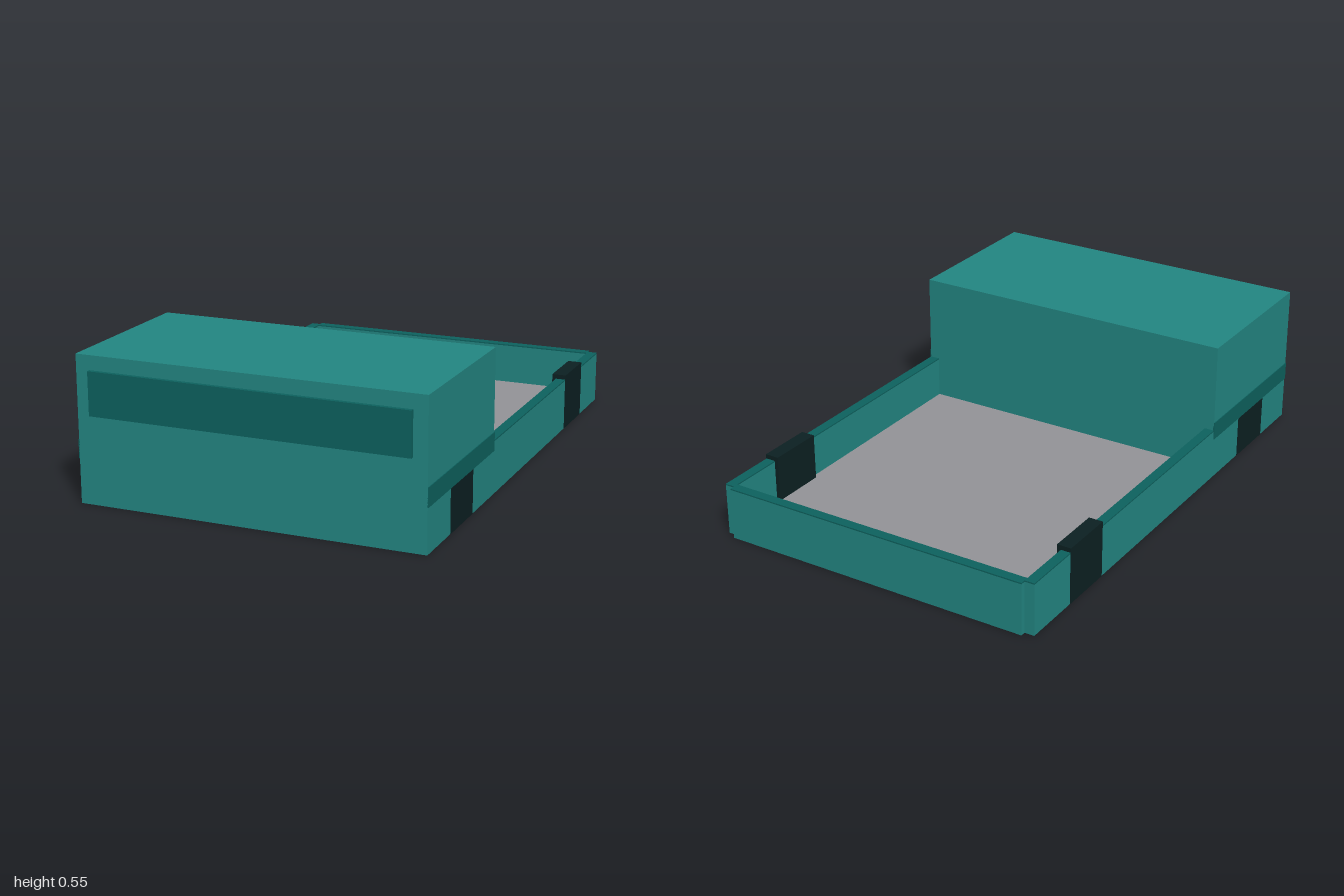
import * as THREE from 'three';

const mat = (name, color) => {
  const m = new THREE.MeshStandardMaterial({ color });
  m.name = name;
  return m;
};

export function createModel() {
  const teal = mat('teal', 0x238783);
  const darkTeal = mat('dark teal', 0x0d625f);
  const grey = mat('bed grey', 0x949498);
  const black = mat('arch black', 0x0c2022);

  const model = new THREE.Group();
  model.name = 'truckBody';

  // Box given by its lower and upper corners
  const box = (name, material, [x0, y0, z0], [x1, y1, z1]) => {
    const mesh = new THREE.Mesh(new THREE.BoxGeometry(x1 - x0, y1 - y0, z1 - z0), material);
    mesh.position.set((x0 + x1) / 2, (y0 + y1) / 2, (z0 + z1) / 2);
    mesh.name = name;
    model.add(mesh);
  };
  // The same box on both sides of x = 0
  const pair = (name, material, [x0, y0, z0], [x1, y1, z1]) => {
    box(name + 'Left', material, [x0, y0, z0], [x1, y1, z1]);
    box(name + 'Right', material, [-x1, y0, z0], [-x0, y1, z1]);
  };

  // Cab, from the ground up, with a windscreen
  box('cab', teal, [-0.653, 0, 0.333], [0.653, 0.546, 0.985]);
  box('windscreen', darkTeal, [-0.6, 0.33, 0.985], [0.6, 0.492, 1]);
  pair('cabStripe', darkTeal, [0.65, 0.165, 0.333], [0.656, 0.235, 0.985]);

  // Load bed: underside, floor, side walls and tailgate
  box('underbody', teal, [-0.653, 0, -0.98], [0.653, 0.034, 0.333]);
  box('bedFloor', grey, [-0.615, 0.034, -0.962], [0.615, 0.04, 0.333]);
  pair('sideWall', teal, [0.615, 0.034, -0.98], [0.653, 0.198, 0.333]);
  box('tailgate', teal, [-0.615, 0, -1], [0.615, 0.198, -0.962]);

  // Dark rails along the wall tops
  pair('sideRail', darkTeal, [0.615, 0.198, -0.98], [0.653, 0.203, 0.333]);
  box('tailgateRail', darkTeal, [-0.615, 0.198, -1], [0.615, 0.203, -0.962]);

  // Wheel arch blocks
  pair('rearArch', black, [0.6, 0.001, -0.747], [0.655, 0.22, -0.53]);
  pair('frontArch', black, [0.6, 0.001, 0.553], [0.655, 0.22, 0.77]);

  return model;
}
